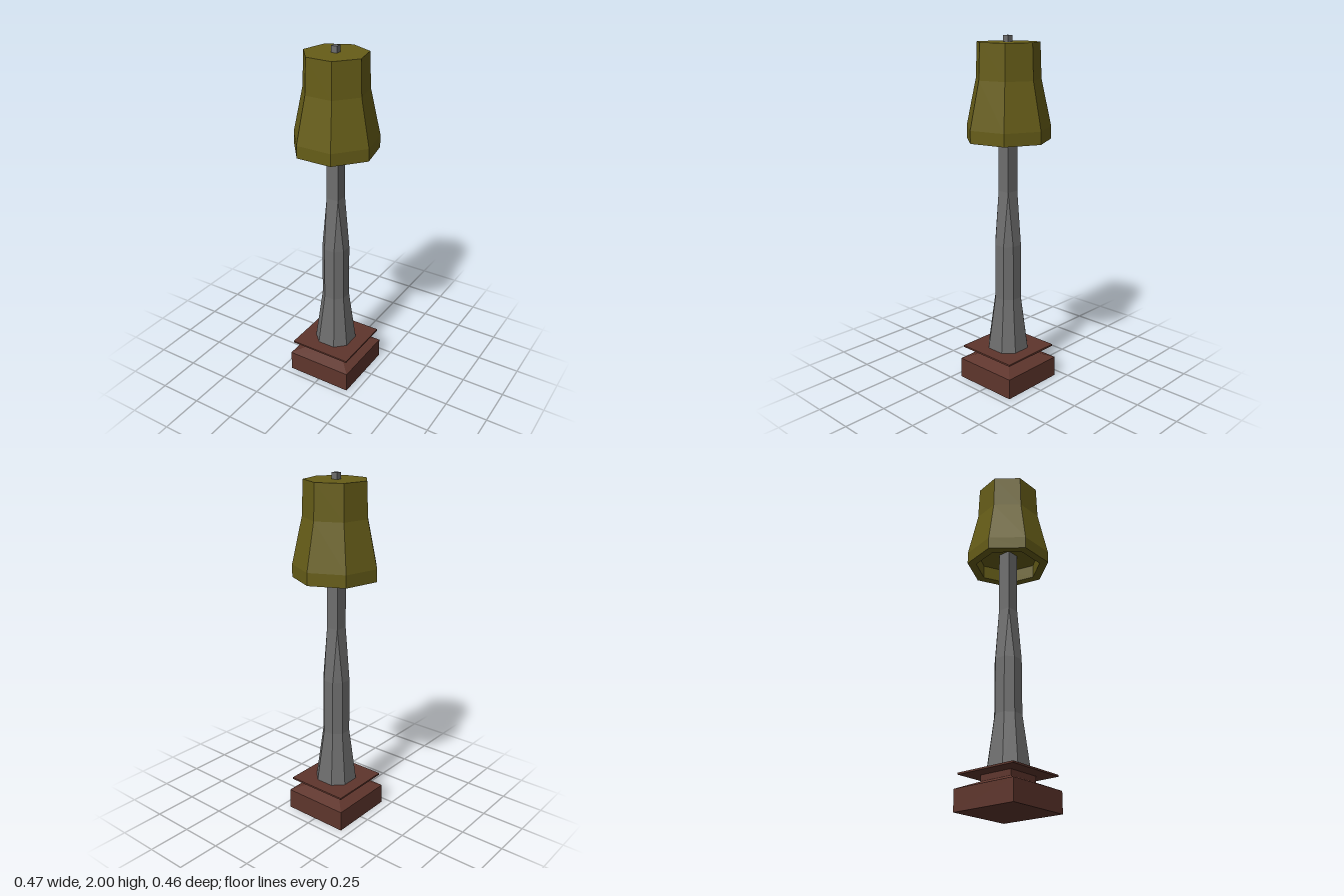
import * as THREE from 'three';

const CZ = 0.011; // z of the lamp's axis

const paint = (color) => new THREE.MeshStandardMaterial({ color, flatShading: true });

// Chamfered square: half width h, half length e of the straight sides (e = h is a plain square)
function ring([y, h, e = h]) {
  const points = [];
  for (let i = 0; i < 4; i++) {
    for (const [x, z] of [[-e, h], [e, h]]) {
      const a = (i * Math.PI) / 2, c = Math.cos(a), s = Math.sin(a);
      points.push(new THREE.Vector3(x * c + z * s, y, z * c - x * s));
    }
  }
  return points;
}

// Closed, flat-faced solid through a stack of rings, from bottom to top
function loft(sections) {
  const positions = [];
  const triangle = (a, b, c) => {
    const area = b.clone().sub(a).cross(c.clone().sub(a)).length();
    if (area > 1e-8) for (const p of [a, b, c]) positions.push(p.x, p.y, p.z);
  };
  const rings = sections.map(ring);
  const bottom = new THREE.Vector3(0, sections[0][0], 0);
  const top = new THREE.Vector3(0, sections[sections.length - 1][0], 0);
  for (let i = 0; i < 8; i++) {
    const j = (i + 1) % 8;
    for (let k = 0; k < rings.length - 1; k++) {
      const lower = rings[k], upper = rings[k + 1];
      triangle(lower[i], lower[j], upper[j]);
      triangle(lower[i], upper[j], upper[i]);
    }
    triangle(bottom, rings[0][j], rings[0][i]);
    triangle(top, rings[rings.length - 1][i], rings[rings.length - 1][j]);
  }
  const geometry = new THREE.BufferGeometry();
  geometry.setAttribute('position', new THREE.Float32BufferAttribute(positions, 3));
  geometry.computeVertexNormals();
  return geometry;
}

export function createModel() {
  const model = new THREE.Group();
  model.name = 'lamp';
  const wood = paint(0x5e352c);
  const metal = paint(0x6e6e6e);
  const fabric = paint(0x665d18);

  const add = (name, geometry, material, y = 0) => {
    const mesh = new THREE.Mesh(geometry, material);
    mesh.name = name;
    mesh.position.set(0, y, CZ);
    model.add(mesh);
  };

  // Square foot with a sloped shoulder and a narrow neck
  add('base', loft([[0, 0.198], [0.12, 0.198], [0.16, 0.102], [0.2, 0.102]]), wood);
  add('basePlate', new THREE.BoxGeometry(0.372, 0.01, 0.372), wood, 0.199);

  // Eight-sided post that turns square towards the top
  add('post', loft([
    [0.2, 0.11, 0.053],
    [0.52, 0.072, 0.032],
    [0.84, 0.071, 0.032],
    [1.15, 0.037],
    [1.53, 0.037],
  ]), metal);

  // Seven-sided shade with a thick rim and a shallow recess below
  const profile = [
    [0, 1.52], [0.19, 1.52], [0.19, 1.44], [0.241, 1.44],
    [0.241, 1.51], [0.184, 1.77], [0.176, 1.965], [0, 1.965],
  ].map(([r, y]) => new THREE.Vector2(r, y));
  const shade = new THREE.LatheGeometry(profile, 7, Math.PI).toNonIndexed();
  shade.computeVertexNormals();
  add('shade', shade, fabric);

  // Small square finial
  add('finial', new THREE.BoxGeometry(0.035, 0.06, 0.035), metal, 1.97);

  return model;
}
